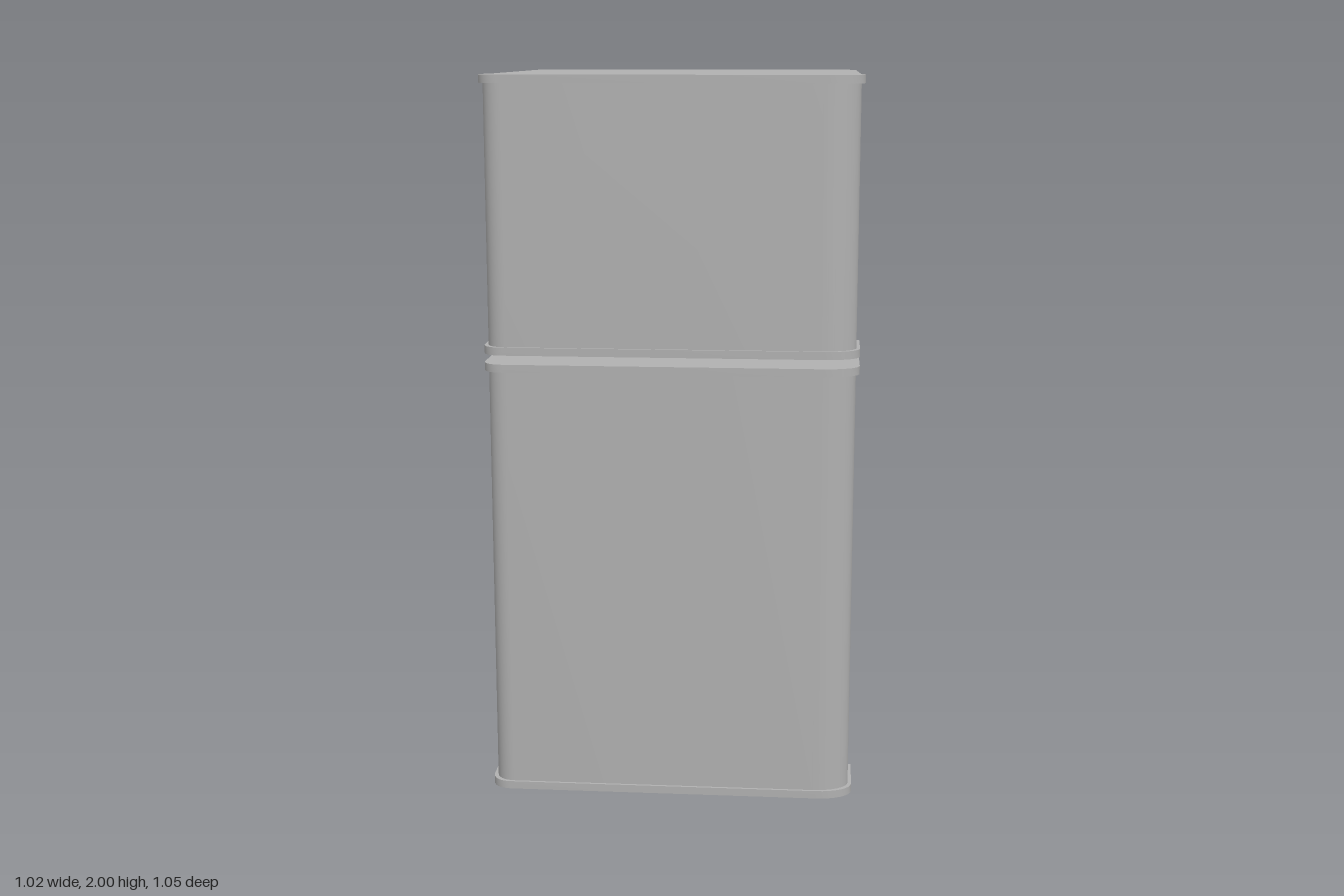
import * as THREE from 'three';
import { toCreasedNormals } from 'three/addons/utils/BufferGeometryUtils.js';

const SIDE = 0.501;      // half width of cabinet and doors
const SEAM = 0.325;      // z where doors meet the cabinet
const DEPTH = 0.05;      // handle recess depth
const PANEL_Z = 0.445;   // front edge of the handle panel

// Plan outline of a door or trim (shape y is -z); the hinge corner is tighter than the handle corner
function planShape(half, front, notched) {
  const s = new THREE.Shape();
  s.moveTo(-half, -SEAM);
  s.lineTo(-half, -(front - 0.055));
  s.bezierCurveTo(-half, -(front - 0.022), -half + 0.022, -front, -half + 0.055, -front);
  s.lineTo(half - 0.1, -front);
  s.bezierCurveTo(half - 0.045, -front, half, -(front - 0.026), half, -(front - 0.062));
  if (notched) {
    s.lineTo(half, -PANEL_Z);
    s.lineTo(half - DEPTH, -PANEL_Z);
    s.lineTo(half - DEPTH, -SEAM);
  } else s.lineTo(half, -SEAM);
  s.closePath();
  return s;
}

function extrude(shape, depth) {
  return new THREE.ExtrudeGeometry(shape, { depth, bevelEnabled: false, curveSegments: 8 });
}

function slab(shape, y0, y1) {
  const g = extrude(shape, y1 - y0).rotateX(-Math.PI / 2).translate(0, y0, 0);
  return toCreasedNormals(g, 0.6);
}

// Rounded slot outline for the handle opening (shape x is -z)
function slot(z0, z1, y0, y1, r) {
  const p = new THREE.Path();
  const a = -z1, b = -z0;
  p.moveTo(a + r, y0);
  p.lineTo(b - r, y0);
  p.quadraticCurveTo(b, y0, b, y0 + r);
  p.lineTo(b, y1 - r);
  p.quadraticCurveTo(b, y1, b - r, y1);
  p.lineTo(a + r, y1);
  p.quadraticCurveTo(a, y1, a, y1 - r);
  p.lineTo(a, y0 + r);
  p.quadraticCurveTo(a, y0, a + r, y0);
  return p;
}

export function createModel() {
  const group = new THREE.Group();
  const grey = new THREE.MeshStandardMaterial({ color: 0xb0b0b0 });
  grey.name = 'applianceGrey';

  const add = (name, geometry) => {
    const m = new THREE.Mesh(geometry, grey);
    m.name = name;
    group.add(m);
  };

  // Cabinet behind the doors
  add('cabinet', new THREE.BoxGeometry(2 * SIDE, 2, SEAM + 0.525)
    .translate(0, 1, (SEAM - 0.525) / 2));

  const doors = [
    { name: 'fridgeDoor', y0: 0, y1: 1.228, hole: [0.35, 0.43, 0.5, 1.08, 0.025] },
    { name: 'freezerDoor', y0: 1.253, y1: 2, hole: [0.342, 0.435, 1.43, 1.835, 0.025] },
  ];
  const trim = 0.022;

  for (const { name, y0, y1, hole } of doors) {
    const lo = y0 + trim, hi = y1 - trim;

    // Door slab, notched where the handle panel sits
    add(name, slab(planShape(SIDE, 0.517, true), lo, hi));

    // Side panel with the recessed handle cut through it
    const panel = new THREE.Shape();
    panel.moveTo(-PANEL_Z, lo);
    panel.lineTo(-SEAM, lo);
    panel.lineTo(-SEAM, hi);
    panel.lineTo(-PANEL_Z, hi);
    panel.closePath();
    panel.holes.push(slot(...hole));
    const g = extrude(panel, DEPTH).rotateY(Math.PI / 2).translate(SIDE - DEPTH, 0, 0);
    add(name + 'HandlePanel', toCreasedNormals(g, 0.6));

    // Protruding trims along the bottom and top of the door
    add(name + 'BottomTrim', slab(planShape(0.511, 0.524, false), y0, lo));
    add(name + 'TopTrim', slab(planShape(0.511, 0.524, false), hi, y1));
  }

  return group;
}
